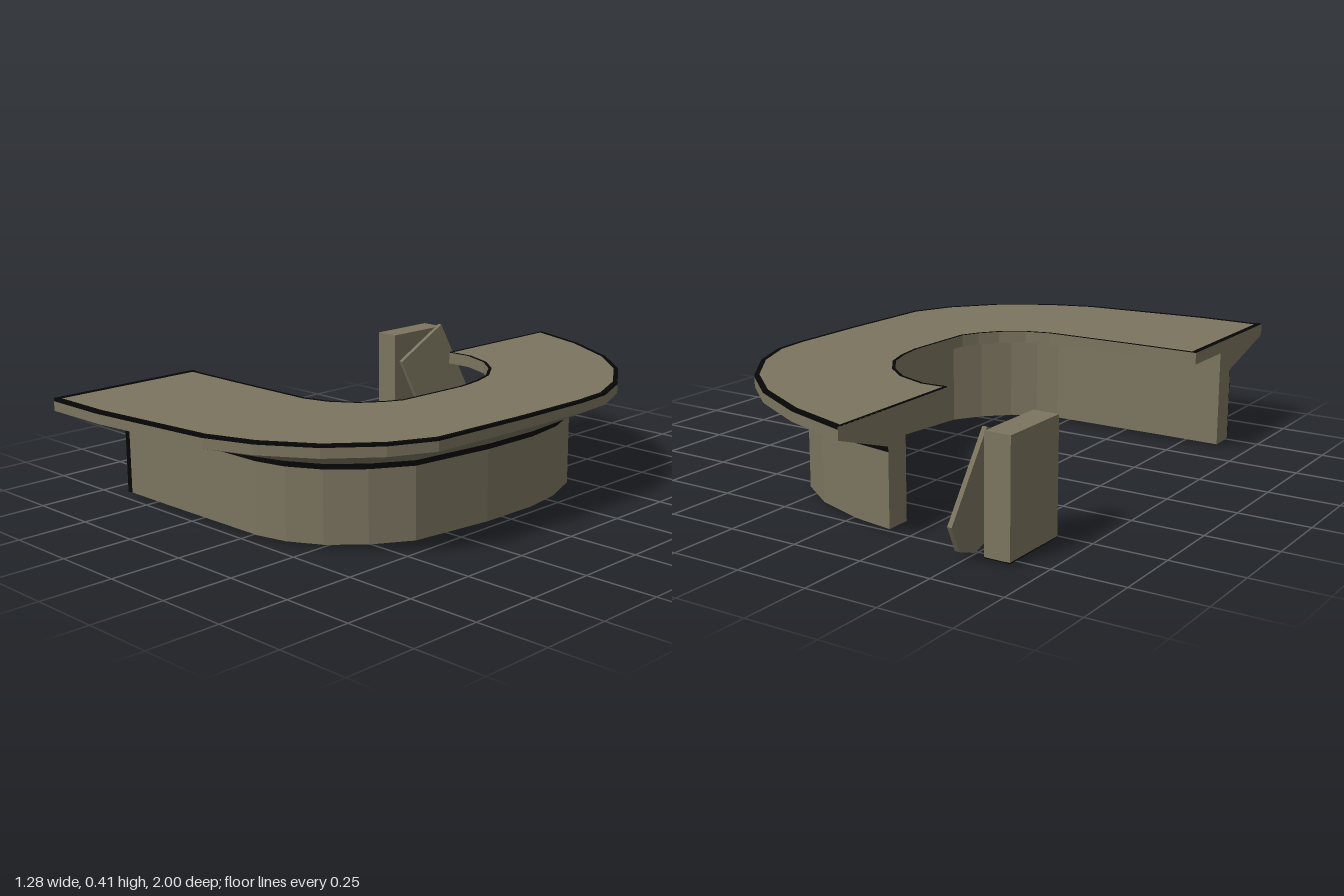
import * as THREE from 'three';

// Plan stations along the desk: outer rim x,z | wall face x,z | inner rim x,z
const STATIONS = [
  [-0.64, 1, -0.64, 0.72, -0.64, 0.42],
  [-0.4, 1, -0.4, 0.72, -0.4, 0.42],
  [0.07, 0.95, 0.04, 0.715, -0.05, 0.415],
  [0.24, 0.89, 0.15, 0.69, 0.04, 0.39],
  [0.41, 0.78, 0.26, 0.63, 0.12, 0.335],
  [0.54, 0.63, 0.36, 0.53, 0.17, 0.27],
  [0.61, 0.48, 0.44, 0.4, 0.2, 0.21],
  [0.63, 0.1, 0.48, 0.1, 0.205, 0.08],
  [0.635, -0.2, 0.485, -0.12, 0.21, -0.06],
  [0.625, -0.33, 0.46, -0.28, 0.195, -0.16],
  [0.56, -0.49, 0.4, -0.43, 0.165, -0.25],
  [0.44, -0.66, 0.29, -0.57, 0.1, -0.34],
  [0.28, -0.8, 0.15, -0.67, 0.02, -0.405],
  [0.06, -0.92, -0.03, -0.735, -0.09, -0.445],
  [-0.18, -1, -0.18, -0.76, -0.18, -0.44],
];
const WALL = 0.09;

export function createModel() {
  const group = new THREE.Group();
  const paint = (name, color) => {
    const m = new THREE.MeshStandardMaterial({ color, flatShading: true, side: THREE.DoubleSide });
    m.name = name;
    return m;
  };
  const olive = paint('olive grey', 0x7b745f);
  const black = paint('black', 0x060606);

  const add = (name, geometry, material) => {
    const mesh = new THREE.Mesh(geometry, material);
    mesh.name = name;
    group.add(mesh);
    return mesh;
  };

  // Plan lines, one [x, z] per station
  const last = STATIONS.length - 1;
  const outer = STATIONS.map((s) => [s[0], s[1]]);
  const wall = STATIONS.map((s) => [s[2], s[3]]);
  const inner = STATIONS.map((s) => [s[4], s[5]]);
  const blend = (a, b, t) => a.map((p, i) => [p[0] + (b[i][0] - p[0]) * t, p[1] + (b[i][1] - p[1]) * t]);
  const outerInset = blend(outer, inner, 0.035);
  const innerInset = blend(inner, outer, 0.025);
  const wallBack = wall.map(([x, z], i) => {
    if (i === 0) return [x, z - WALL];
    if (i === last) return [x, z + WALL];
    const tx = wall[i + 1][0] - wall[i - 1][0];
    const tz = wall[i + 1][1] - wall[i - 1][1];
    const len = Math.hypot(tx, tz);
    return [x + (tz / len) * WALL, z - (tx / len) * WALL];
  });

  // Closed cross-section: plan line, height, then name and colour of the face to the next point
  const section = [
    [outer, 0.4, 'counterEdgeTrim', black],
    [outer, 0.391, 'counterEdge', olive],
    [outer, 0.358, 'flaredSoffit', olive],
    [wall, 0.28, 'wallTopBand', black],
    [wall, 0.262, 'frontWall', olive],
    [wall, 0.015, 'wallBase', black],
    [wallBack, 0.015, 'backWall', olive],
    [wallBack, 0.358, 'counterUnderside', black],
    [inner, 0.358, 'innerCounterEdge', olive],
    [inner, 0.4, 'innerTopTrim', black],
    [innerInset, 0.4, 'counterTop', olive],
    [outerInset, 0.4, 'outerTopTrim', black],
  ];

  section.forEach(([line, y, name, material], k) => {
    const [nextLine, nextY] = section[(k + 1) % section.length];
    const positions = [];
    const index = [];
    line.forEach(([x, z], i) => {
      positions.push(x, y, z, nextLine[i][0], nextY, nextLine[i][1]);
      const a = i * 2;
      if (i < last) index.push(a, a + 1, a + 3, a, a + 3, a + 2);
    });
    const geometry = new THREE.BufferGeometry();
    geometry.setAttribute('position', new THREE.Float32BufferAttribute(positions, 3));
    geometry.setIndex(index);
    geometry.computeVertexNormals();
    add(name, geometry, material);
  });

  // End caps fill the cross-section; both ends face -x
  const endCap = (name, i) => {
    const shape = new THREE.Shape(section.map(([line, y]) => new THREE.Vector2(line[i][1], y)));
    const geometry = new THREE.ShapeGeometry(shape);
    geometry.rotateY(-Math.PI / 2);
    geometry.translate(line0(i), 0, 0);
    add(name, geometry, olive);
  };
  const line0 = (i) => outer[i][0];
  endCap('frontEndCap', 0);
  endCap('backEndCap', last);

  // Dark trim at the ends
  const box = (name, w, h, d, x, y, z, material) =>
    add(name, new THREE.BoxGeometry(w, h, d), material).position.set(x, y, z);
  box('frontEndTopTrim', 0.018, 0.004, 0.58, -0.631, 0.4, 0.71, black);
  box('backEndTopTrim', 0.006, 0.004, 0.55, -0.177, 0.4, -0.72, black);
  box('wallEndTrim', 0.02, 0.26, 0.004, -0.63, 0.145, 0.72, black);

  // Separate upright block
  box('sideBlock', 0.09, 0.385, 0.27, -0.598, 0.2075, -0.665, olive);
  box('sideBlockBase', 0.09, 0.004, 0.27, -0.598, 0.014, -0.665, black);

  // Leaning slab beside the block, as [z, y] corners, sheared towards the block
  const corners = [[-0.79, 0.41], [-0.54, 0.295], [-0.64, 0.05], [-0.76, 0.003], [-0.85, 0.035], [-0.91, 0.13]];
  const slab = new THREE.ExtrudeGeometry(
    new THREE.Shape(corners.map(([z, y]) => new THREE.Vector2(-z, y))),
    { depth: 0.016, bevelEnabled: false },
  );
  slab.rotateY(Math.PI / 2);
  const p = slab.attributes.position;
  for (let i = 0; i < p.count; i++) p.setX(i, p.getX(i) - 0.495 - p.getY(i) * 0.15);
  slab.computeVertexNormals();
  add('leaningSlab', slab, olive);

  return group;
}
